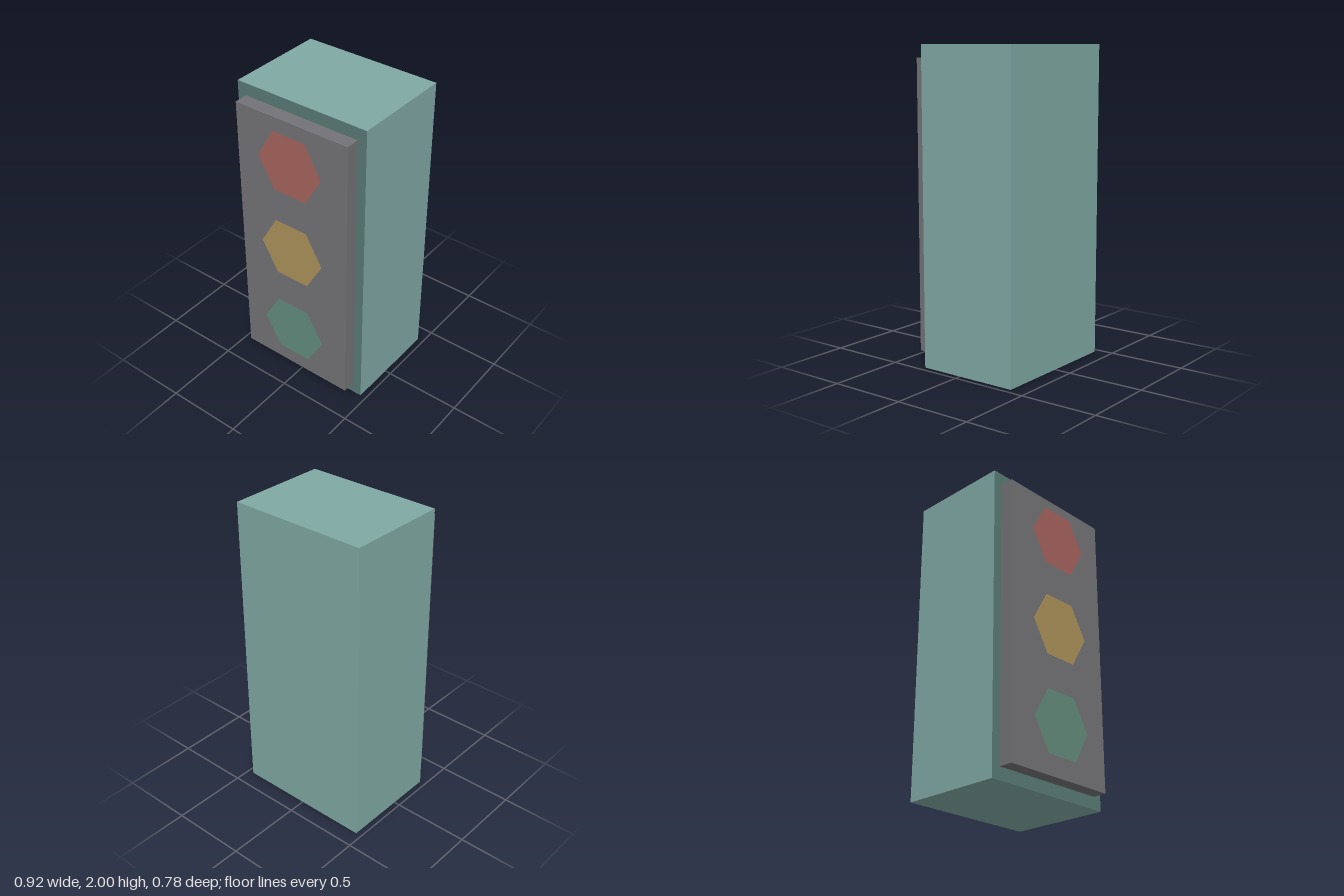
import * as THREE from 'three';

const paint = (name, color) => {
  const material = new THREE.MeshStandardMaterial({ color });
  material.name = name;
  return material;
};

export function createModel() {
  const model = new THREE.Group();
  model.name = 'trafficLight';

  const teal = paint('teal', 0x7fa8a3);
  const darkTeal = paint('darkTeal', 0x597a75);
  const grey = paint('grey', 0x737377);

  const add = (name, geometry, material, y, z) => {
    const mesh = new THREE.Mesh(geometry, material);
    mesh.name = name;
    mesh.position.set(0, y, z);
    model.add(mesh);
  };

  // Housing with a darker front face
  add('housing', new THREE.BoxGeometry(0.92, 2, 0.67),
    [teal, teal, teal, teal, darkTeal, teal], 1, -0.055);

  // Raised front panel
  add('frontPanel', new THREE.BoxGeometry(0.8, 1.84, 0.09), grey, 1, 0.325);

  // Flat hexagonal lamps standing just clear of the panel
  const lamps = [
    ['redLamp', paint('red', 0xa6635d), 1.64],
    ['amberLamp', paint('amber', 0xac925b), 1.02],
    ['greenLamp', paint('green', 0x638c7d), 0.4],
  ];
  for (const [name, material, y] of lamps) {
    add(name, new THREE.CircleGeometry(0.23, 6), material, y, 0.388);
  }

  return model;
}
